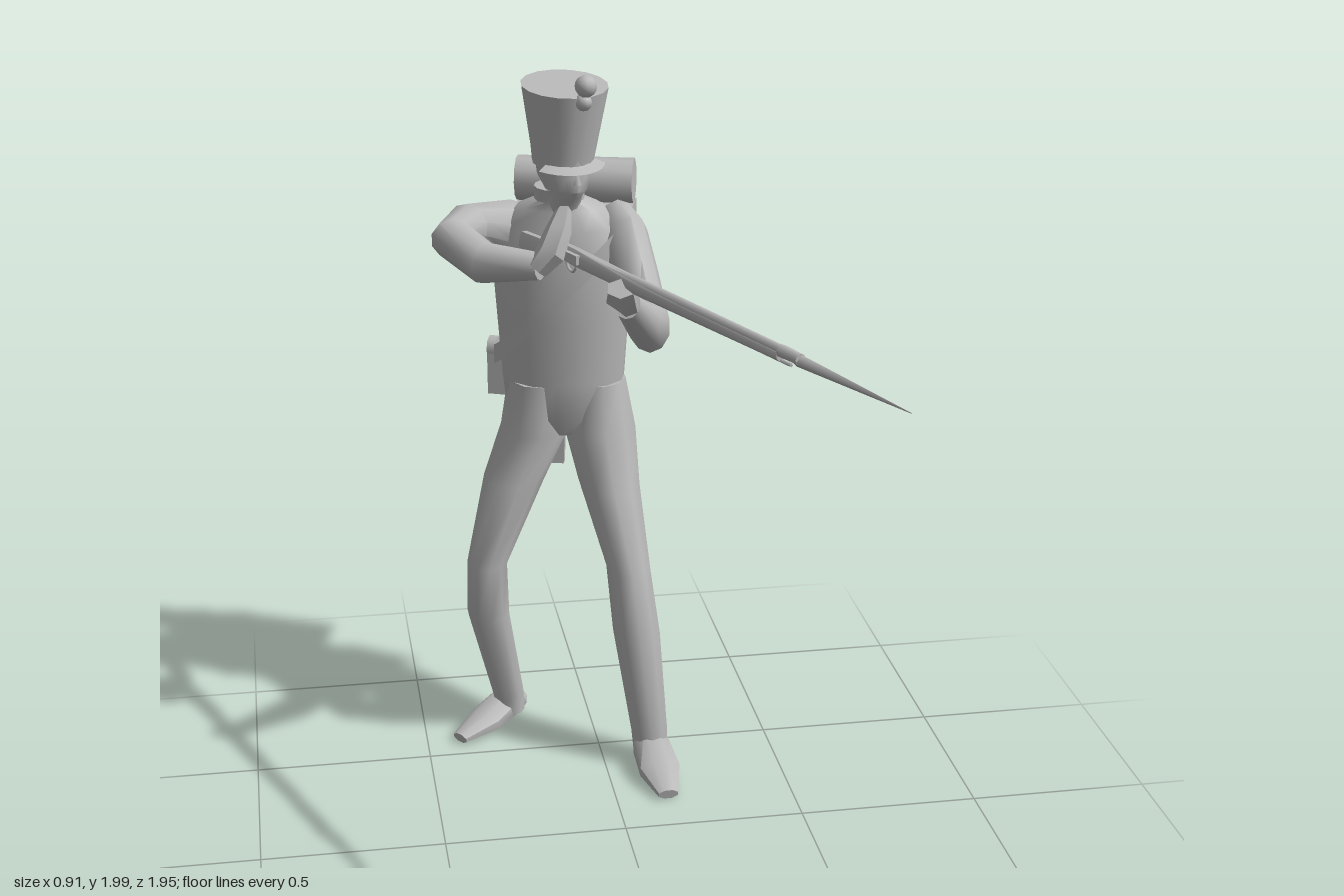
import * as THREE from 'three';
import { toCreasedNormals } from 'three/addons/utils/BufferGeometryUtils.js';

const V = (x, y, z) => new THREE.Vector3(x, y, z);
const UP = V(0, 1, 0), FRONT = V(0, 0, 1);

// Closed skin over elliptical sections [x, y, z, radiusA, radiusB].
// Sections face along the path, or along a fixed direction if one is given.
function loft(sections, { n = 10, ref = UP, dir = null, crease = 0.9 } = {}) {
  const pos = [], idx = [], last = sections.length - 1;
  const centre = (i) => V(...sections[i].slice(0, 3));
  sections.forEach((s, i) => {
    const d = (dir ? dir.clone() : centre(Math.min(i + 1, last)).sub(centre(Math.max(i - 1, 0)))).normalize();
    const u = d.clone().cross(ref).normalize();
    const v = d.clone().cross(u);
    for (let j = 0; j < n; j++) {
      const t = (j + 0.5) / n * Math.PI * 2;
      const p = centre(i).addScaledVector(u, s[3] * Math.cos(t)).addScaledVector(v, s[4] * Math.sin(t));
      pos.push(p.x, p.y, p.z);
    }
  });
  for (let i = 0; i < last; i++) for (let j = 0; j < n; j++) {
    const a = i * n + j, b = i * n + (j + 1) % n;
    idx.push(a, b, b + n, a, b + n, a + n);
  }
  const c0 = pos.length / 3;
  pos.push(...sections[0].slice(0, 3), ...sections[last].slice(0, 3));
  for (let j = 0; j < n; j++) {
    const k = (j + 1) % n;
    idx.push(c0, k, j, c0 + 1, last * n + j, last * n + k);
  }
  const g = new THREE.BufferGeometry();
  g.setAttribute('position', new THREE.Float32BufferAttribute(pos, 3));
  g.setIndex(idx);
  return toCreasedNormals(g, crease);
}

export function createModel() {
  const model = new THREE.Group();
  model.name = 'aimingSoldier';
  const grey = new THREE.MeshStandardMaterial({ color: 0xb8b8b8, side: THREE.DoubleSide });
  grey.name = 'plainGrey';

  const add = (parent, name, geometry, x = 0, y = 0, z = 0) => {
    const m = new THREE.Mesh(geometry, grey);
    m.name = name;
    m.position.set(x, y, z);
    parent.add(m);
    return m;
  };
  const group = (name, x, y, z, yaw) => {
    const g = new THREE.Group();
    g.name = name;
    g.position.set(x, y, z);
    g.rotation.y = yaw;
    model.add(g);
    return g;
  };
  const down = { dir: V(0, -1, 0), ref: FRONT };
  const up = { dir: V(0, 1, 0), ref: FRONT, n: 14 };

  // Legs and shoes
  add(model, 'leftLeg', loft([
    [0.03, 1.1, -0.68, 0.08, 0.11], [0.03, 0.96, -0.66, 0.105, 0.13], [0.05, 0.8, -0.605, 0.088, 0.115],
    [0.085, 0.585, -0.475, 0.063, 0.08], [0.102, 0.4, -0.435, 0.068, 0.072], [0.132, 0.1, -0.385, 0.053, 0.055],
    [0.135, 0.04, -0.385, 0.05, 0.05]], down));
  add(model, 'rightLeg', loft([
    [-0.14, 1.1, -0.7, 0.085, 0.11], [-0.15, 0.95, -0.705, 0.098, 0.125], [-0.215, 0.8, -0.69, 0.088, 0.105],
    [-0.308, 0.575, -0.6, 0.058, 0.066], [-0.305, 0.4, -0.635, 0.062, 0.078], [-0.245, 0.1, -0.705, 0.048, 0.062],
    [-0.24, 0.04, -0.71, 0.045, 0.055]], down));
  add(model, 'leftShoe', loft([
    [0.13, 0.045, -0.435, 0.04, 0.035], [0.135, 0.055, -0.37, 0.056, 0.052], [0.14, 0.04, -0.25, 0.062, 0.036],
    [0.145, 0.022, -0.14, 0.03, 0.015]], { n: 8 }));
  add(model, 'rightShoe', loft([
    [-0.215, 0.045, -0.765, 0.04, 0.035], [-0.25, 0.055, -0.715, 0.052, 0.052], [-0.32, 0.04, -0.64, 0.058, 0.036],
    [-0.405, 0.022, -0.57, 0.028, 0.015]], { n: 8 }));

  // Coat body, turned towards the right
  const body = group('body', -0.065, 0, -0.7, -0.28);
  add(body, 'coat', loft([
    [0, 0.95, 0, 0.13, 0.1], [0, 1.0, 0, 0.165, 0.125], [0, 1.11, 0, 0.176, 0.13], [0, 1.28, 0, 0.188, 0.135],
    [0, 1.46, 0, 0.2, 0.14], [0, 1.55, 0, 0.185, 0.125], [0, 1.605, 0.02, 0.12, 0.095],
    [0, 1.63, 0.04, 0.07, 0.075], [0, 1.67, 0.055, 0.068, 0.075]], up));

  // Strap from the left shoulder to the right hip
  const strapPos = [], strapIdx = [], steps = 28;
  for (let i = 0; i <= steps; i++) {
    const t = i / steps * Math.PI * 2;
    for (const dy of [-0.028, 0.028]) {
      strapPos.push(0.2 * Math.cos(t), 1.36 + 0.2 * Math.cos(t) + dy, 0.147 * Math.sin(t));
    }
    if (i < steps) strapIdx.push(2 * i, 2 * i + 1, 2 * i + 3, 2 * i, 2 * i + 3, 2 * i + 2);
  }
  const strap = new THREE.BufferGeometry();
  strap.setAttribute('position', new THREE.Float32BufferAttribute(strapPos, 3));
  strap.setIndex(strapIdx);
  strap.computeVertexNormals();
  add(body, 'strap', strap);

  // Coat tails
  for (const s of [-1, 1]) {
    const shape = new THREE.Shape([[0.005, 1.12], [0.15, 1.1], [0.125, 0.95], [0.1, 0.78], [0.02, 0.78]]
      .map(([x, y]) => new THREE.Vector2(s * x, y)));
    add(body, s > 0 ? 'leftCoatTail' : 'rightCoatTail',
      new THREE.ExtrudeGeometry(shape, { depth: 0.025, bevelEnabled: false }), 0, 0, -0.14);
  }

  // Knapsack, deeper towards its base, with a rolled blanket
  const pack = new THREE.BoxGeometry(0.335, 0.28, 0.145);
  const p = pack.attributes.position;
  for (let i = 0; i < p.count; i++) if (p.getZ(i) < 0 && p.getY(i) > 0) p.setZ(i, p.getZ(i) + 0.02);
  pack.computeVertexNormals();
  add(body, 'knapsack', pack, 0.016, 1.425, -0.177);
  const roll = add(body, 'blanketRoll',
    toCreasedNormals(new THREE.CylinderGeometry(0.064, 0.064, 0.335, 10), 0.9), 0.016, 1.63, -0.168);
  roll.rotation.z = Math.PI / 2;

  // Cartridge pouch with a sloping lid
  const pouch = group('pouch', -0.195, 1.08, -0.86, -0.4);
  add(pouch, 'pouchBox', new THREE.BoxGeometry(0.13, 0.14, 0.07), 0, -0.01, 0);
  const lid = add(pouch, 'pouchLid', new THREE.CylinderGeometry(0.035, 0.035, 0.13, 8), 0, 0.055, 0.005);
  lid.rotation.z = Math.PI / 2;

  // Arms and hands
  add(model, 'rightArm', loft([
    [-0.15, 1.51, -0.73, 0.08, 0.08], [-0.22, 1.53, -0.74, 0.088, 0.08], [-0.33, 1.555, -0.68, 0.07, 0.062],
    [-0.385, 1.555, -0.56, 0.058, 0.058], [-0.31, 1.515, -0.45, 0.055, 0.058], [-0.17, 1.525, -0.36, 0.036, 0.038]]));
  add(model, 'rightHand', loft([
    [-0.18, 1.52, -0.35, 0.03, 0.035], [-0.145, 1.56, -0.35, 0.04, 0.05], [-0.12, 1.61, -0.38, 0.035, 0.055],
    [-0.1, 1.655, -0.42, 0.02, 0.04]], { n: 6, ref: FRONT, crease: 0.5 }));
  add(model, 'leftArm', loft([
    [0.08, 1.54, -0.69, 0.06, 0.08], [0.1, 1.515, -0.62, 0.064, 0.088], [0.115, 1.43, -0.51, 0.06, 0.082],
    [0.128, 1.335, -0.365, 0.054, 0.076], [0.09, 1.385, -0.265, 0.048, 0.055], [0.03, 1.47, -0.15, 0.034, 0.036]]));
  add(model, 'leftHand', loft([
    [0.035, 1.465, -0.155, 0.032, 0.03], [0.01, 1.505, -0.115, 0.045, 0.04], [0.0, 1.54, -0.075, 0.038, 0.028]],
    { n: 6, crease: 0.5 }));

  // Head and tall cap, turned along the musket
  const head = group('head', -0.07, 0, -0.62, 0.36);
  add(head, 'face', loft([
    [0, 1.6, -0.02, 0.05, 0.055], [0, 1.65, 0, 0.048, 0.062], [0, 1.67, 0.012, 0.055, 0.07],
    [0, 1.71, 0, 0.072, 0.08], [0, 1.78, 0, 0.08, 0.085]], up));
  add(head, 'nose', new THREE.ConeGeometry(0.013, 0.045, 4), 0, 1.715, 0.08);
  add(head, 'cap', loft([
    [0, 1.74, -0.005, 0.084, 0.084], [0, 1.78, 0, 0.09, 0.088], [0, 1.955, 0.012, 0.122, 0.112]],
    { dir: V(0, 1, 0.16), ref: FRONT, n: 16 }));
  const visor = add(head, 'visor', new THREE.CylinderGeometry(0.08, 0.115, 0.012, 10, 1, false, -1.1, 2.2), 0, 1.75, 0);
  visor.rotation.x = 0.15;
  add(head, 'pompom', new THREE.SphereGeometry(0.03, 10, 8), 0, 1.97, 0.13);
  add(head, 'cockade', new THREE.SphereGeometry(0.024, 8, 6), 0, 1.925, 0.117);

  // Musket with fixed bayonet, lying along its own z axis
  const musket = group('musket', 0.02, 1.553, -0.1, 0.39);
  const rod = (name, r1, r2, z1, z2, x, y, n = 8) => {
    const m = add(musket, name, new THREE.CylinderGeometry(r2, r1, z2 - z1, n), x, y, (z1 + z2) / 2);
    m.rotation.x = Math.PI / 2;
  };
  rod('barrel', 0.015, 0.012, -0.3, 0.735, 0, 0.008);
  rod('ramrod', 0.005, 0.005, 0.1, 0.72, 0, -0.018, 5);
  add(musket, 'stock', loft([
    [0, -0.042, -0.53, 0.02, 0.05], [0, -0.025, -0.42, 0.02, 0.037], [0, 0.002, -0.33, 0.018, 0.024],
    [0, 0, -0.25, 0.02, 0.026], [0, -0.003, 0.1, 0.019, 0.022], [0, -0.004, 0.68, 0.015, 0.016]], { n: 8 }));
  add(musket, 'lock', new THREE.BoxGeometry(0.012, 0.025, 0.1), -0.021, 0.004, -0.26);
  add(musket, 'hammer', new THREE.BoxGeometry(0.01, 0.04, 0.018), -0.022, 0.028, -0.28);
  const guard = add(musket, 'triggerGuard', new THREE.TorusGeometry(0.024, 0.004, 5, 10, Math.PI), 0, -0.022, -0.28);
  guard.rotation.set(Math.PI, Math.PI / 2, 0);
  rod('bayonetSocket', 0.016, 0.014, 0.68, 0.755, 0, 0.006);
  rod('bayonetBlade', 0.017, 0.001, 0.735, 1.158, 0.004, 0, 4);

  return model;
}
